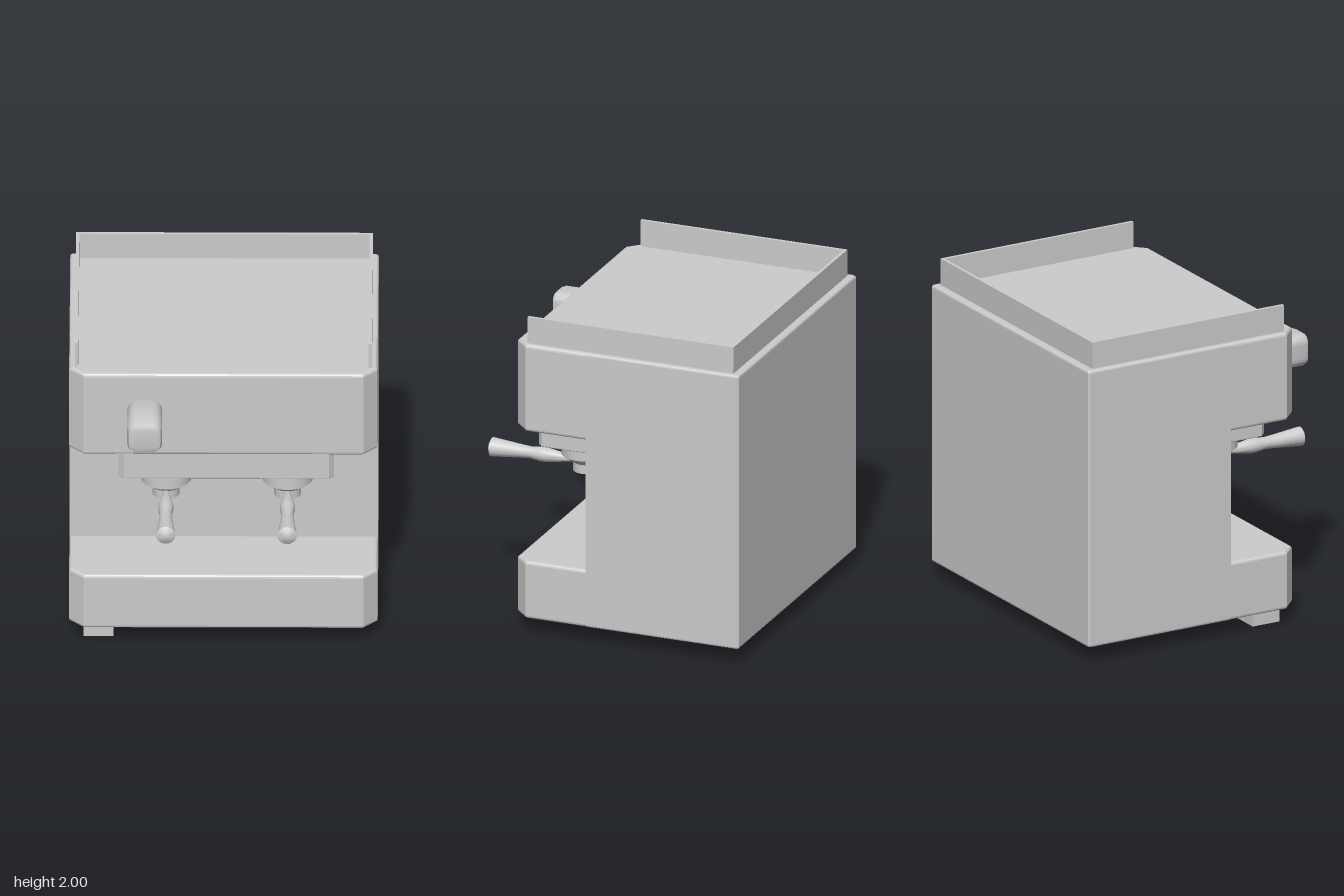
import * as THREE from 'three';
import { toCreasedNormals } from 'three/addons/utils/BufferGeometryUtils.js';

const grey = new THREE.MeshStandardMaterial({ color: 0xcccccc });
const greyDouble = new THREE.MeshStandardMaterial({ color: 0xcccccc, side: THREE.DoubleSide });

function part(name, geometry, material = grey) {
  const mesh = new THREE.Mesh(geometry, material);
  mesh.name = name;
  return mesh;
}

// Upright slab from a plan rectangle with cut front and back corners and softened rims
function slab(x0, x1, z0, z1, y0, y1, frontCut, backCut, bevel) {
  const s = new THREE.Shape([
    [x0 + frontCut, z1], [x1 - frontCut, z1], [x1, z1 - frontCut], [x1, z0 + backCut],
    [x1 - backCut, z0], [x0 + backCut, z0], [x0, z0 + backCut], [x0, z1 - frontCut],
  ].filter((p, i, all) => i === 0 || p[0] !== all[i - 1][0] || p[1] !== all[i - 1][1])
    .map(([x, z]) => new THREE.Vector2(x, -z)));
  const geo = new THREE.ExtrudeGeometry(s, {
    depth: y1 - y0 - 2 * bevel, bevelThickness: bevel, bevelSize: bevel,
    bevelOffset: -bevel, bevelSegments: 3,
  });
  return geo.translate(0, 0, bevel).rotateX(-Math.PI / 2).translate(0, y0, 0);
}

function lathe(points, sides = 28) {
  const geo = new THREE.LatheGeometry(points.map(([r, y]) => new THREE.Vector2(r, y)), sides);
  return toCreasedNormals(geo, 0.6);
}

// Rounded-square knob pointing forwards
function knobGeometry(half, radius, length, bevel) {
  const s = new THREE.Shape();
  const k = half - radius;
  s.absarc(k, k, radius, 0, Math.PI / 2);
  s.absarc(-k, k, radius, Math.PI / 2, Math.PI);
  s.absarc(-k, -k, radius, Math.PI, Math.PI * 1.5);
  s.absarc(k, -k, radius, Math.PI * 1.5, Math.PI * 2);
  const geo = new THREE.ExtrudeGeometry(s, {
    depth: length - 2 * bevel, bevelThickness: bevel, bevelSize: bevel,
    bevelOffset: -bevel, bevelSegments: 2, curveSegments: 6,
  });
  return toCreasedNormals(geo.translate(0, 0, bevel), 0.7);
}

export function createModel() {
  const model = new THREE.Group();
  model.name = 'espressoMachine';

  // Body: tall back, overhanging head and projecting base
  model.add(
    part('backBody', slab(-0.914, 0.914, -0.91, 0.07, 0.1, 1.835, 0, 0.012, 0.015)),
    part('head', slab(-0.914, 0.914, 0, 0.54, 1.285, 1.835, 0.085, 0, 0.02)),
    part('base', slab(-0.914, 0.914, 0, 0.54, 0.1, 0.462, 0.085, 0, 0.02)),
    part('brewPanel', slab(-0.62, 0.655, 0.03, 0.49, 1.095, 1.3, 0.03, 0, 0.008)),
  );

  // Cup rail, open at the front
  const rail = new THREE.Shape([
    [-0.88, -0.455], [-0.86, -0.455], [-0.86, 0.845], [0.86, 0.845],
    [0.86, -0.455], [0.88, -0.455], [0.88, 0.865], [-0.88, 0.865],
  ].map(([x, y]) => new THREE.Vector2(x, y)));
  const railGeo = new THREE.ExtrudeGeometry(rail, { depth: 0.17, bevelEnabled: false });
  model.add(part('cupRail', railGeo.rotateX(-Math.PI / 2).translate(0, 1.83, 0)));

  // Steam knob
  const knob = part('steamKnob', knobGeometry(0.103, 0.06, 0.325, 0.035));
  knob.position.set(-0.465, 1.553, 0.5);
  model.add(knob);

  // Brew groups with forward handles
  const cup = lathe([[0, 0.85], [0.08, 0.882], [0.08, 0.938], [0.15, 0.988], [0.15, 1.1]]);
  const handle = lathe([
    [0, 0.3], [0.014, 0.36], [0.03, 0.45], [0.045, 0.545], [0.044, 0.58],
    [0.036, 0.64], [0.042, 0.72], [0.058, 0.89], [0.03, 0.905], [0, 0.913],
  ], 20).rotateX(Math.PI / 2).translate(0, 0.938, 0);
  for (const [side, x] of [['right', -0.34], ['left', 0.38]]) {
    const group = new THREE.Group();
    group.name = side + 'BrewGroup';
    const holder = part('filterHolder', cup);
    holder.position.z = 0.285;
    group.add(holder, part('handle', handle));
    group.position.x = x;
    model.add(group);
  }

  // Single hollow foot under the front right corner
  const foot = new THREE.CylinderGeometry(Math.SQRT1_2, Math.SQRT1_2, 0.1, 4, 1, true)
    .toNonIndexed().rotateY(Math.PI / 4).scale(0.18, 1, 0.185);
  foot.computeVertexNormals();
  const footMesh = part('foot', foot, greyDouble);
  footMesh.position.set(-0.74, 0.05, 0.363);
  model.add(footMesh);

  return model;
}
